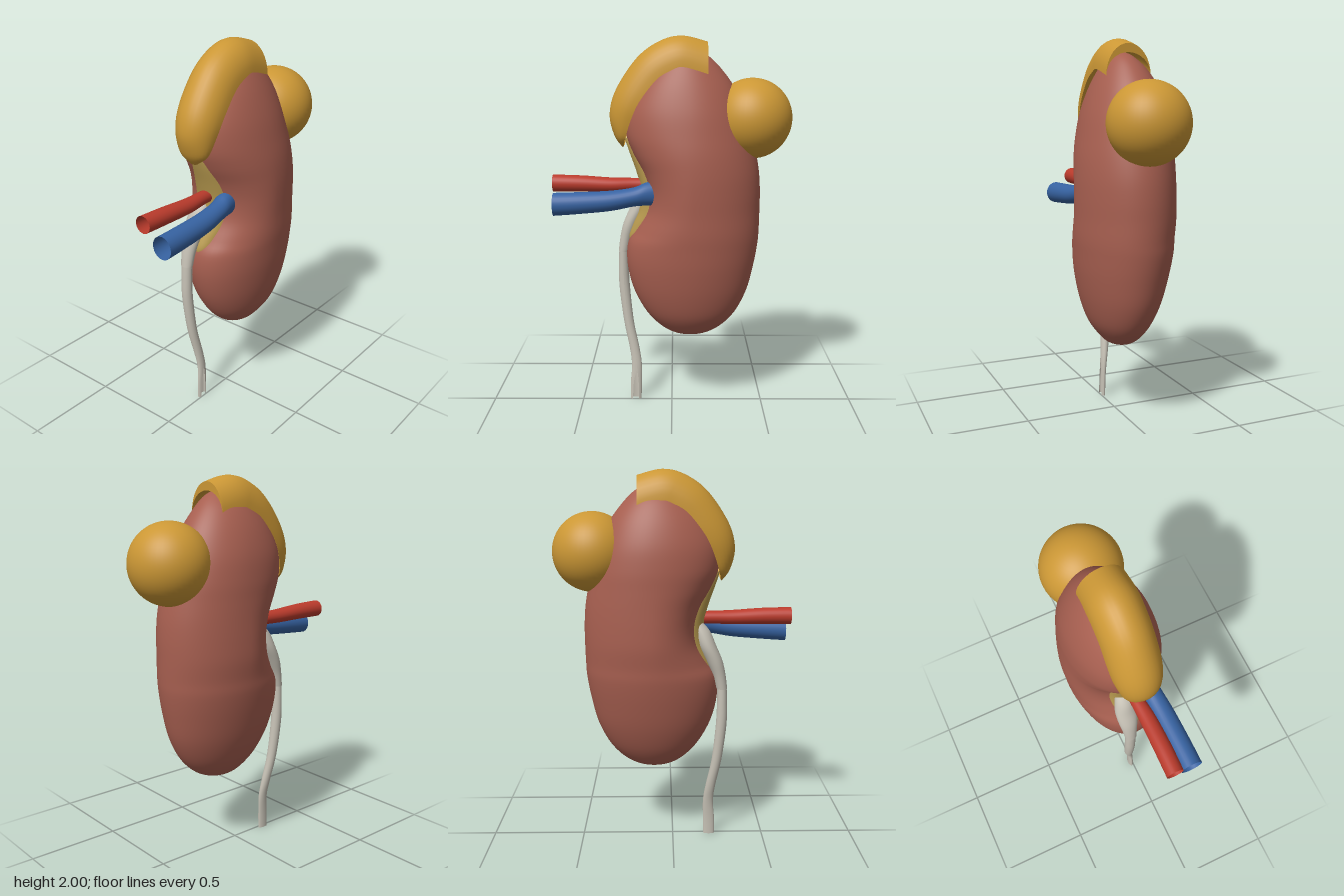
import * as THREE from 'three';
import { toCreasedNormals } from 'three/addons/utils/BufferGeometryUtils.js';

const paint = (name, color, side = THREE.FrontSide) => {
  const m = new THREE.MeshStandardMaterial({ color, side });
  m.name = name;
  return m;
};

// Smoothly resample rows of numbers with a Catmull-Rom spline per column
function resample(rows, steps) {
  const out = [], last = rows.length - 1;
  for (let s = 0; s <= last * steps; s++) {
    const i = Math.min(Math.floor(s / steps), last - 1), t = s / steps - i;
    const a = rows[Math.max(i - 1, 0)], b = rows[i], c = rows[i + 1], d = rows[Math.min(i + 2, last)];
    out.push(b.map((v, k) => v + 0.5 * t * (c[k] - a[k]
      + t * (2 * a[k] - 5 * v + 4 * c[k] - d[k] + t * (3 * (v - c[k]) + d[k] - a[k])))));
  }
  return out;
}

function geometryFrom(pos, index) {
  const g = new THREE.BufferGeometry();
  g.setAttribute('position', new THREE.Float32BufferAttribute(pos, 3));
  g.setIndex(index);
  g.computeVertexNormals();
  return g;
}

// Loft rising in y; rows: [y, centreX, centreZ, reachMinusX, reachPlusX, reachZ, frontGap]
function loft(rows, { seg = 40, steps = 5, slit = false } = {}) {
  const rings = resample(rows, steps), pos = [], index = [];
  const n = slit ? seg + 1 : seg;
  for (const [y, cx, cz, l, r, d, gap = 0] of rings) {
    for (let j = 0; j < n; j++) {
      const a = Math.PI / 2 + gap / 2 + (Math.PI * 2 - gap) * j / seg;
      const c = Math.cos(a);
      pos.push(cx + Math.max(c < 0 ? l : r, 0) * c, y, cz + Math.max(d, 0) * Math.sin(a));
    }
  }
  for (let i = 0; i < rings.length - 1; i++) {
    for (let j = 0; j < seg; j++) {
      const a = i * n + j, b = i * n + (j + 1) % n;
      index.push(a, a + n, b, b, a + n, b + n);
    }
  }
  return geometryFrom(pos, index);
}

// Arched saddle; rows: [crestX, crestY, edgeX, edgeY, halfWidth]
function saddle(rows, half = 16) {
  const rings = resample(rows, 6), n = half * 2, pos = [], index = [];
  for (const [px, py, qx, qy, w] of rings) {
    for (let k = 0; k < n; k++) {
      const inner = k > half;
      const a = -Math.PI / 2 + Math.PI * (inner ? n - k : k) / half;
      const f = Math.cos(a) * (inner ? 0.72 : 1);
      pos.push(qx + (px - qx) * f, qy + (py - qy) * f, w * Math.sin(a));
    }
  }
  for (let i = 0; i < rings.length - 1; i++) {
    for (let k = 0; k < n; k++) {
      const a = i * n + k, b = i * n + (k + 1) % n;
      index.push(a, b, a + n, b, b + n, a + n);
    }
  }
  // crescent end faces
  const end = (rings.length - 1) * n;
  for (let k = 0; k < half; k++) {
    const m = (n - k) % n, m2 = n - k - 1;
    index.push(end + k, end + k + 1, end + m, end + k + 1, end + m2, end + m);
    index.push(k + 1, k, m, m2, k + 1, m);
  }
  return toCreasedNormals(geometryFrom(pos, index), 0.8);
}

export function createModel() {
  const group = new THREE.Group();
  const tissue = paint('kidney brown', 0xa75f50);
  const fat = paint('fat yellow', 0xcb9735);
  const sinus = paint('sinus tan', 0xb99b4f);
  const red = paint('artery red', 0xba3b2c, THREE.DoubleSide);
  const blue = paint('vein blue', 0x3763a2, THREE.DoubleSide);
  const pale = paint('ureter grey', 0xc6c1b5, THREE.DoubleSide);

  const add = (name, geometry, material) => {
    const mesh = new THREE.Mesh(geometry, material);
    mesh.name = name;
    group.add(mesh);
    return mesh;
  };

  // Bean-shaped body with the notch on -x
  add('kidneyBody', loft([
    [0.403, 0.10, 0.02, 0, 0, 0],
    [0.418, 0.10, 0.02, 0.09, 0.09, 0.06],
    [0.46, 0.10, 0.02, 0.165, 0.17, 0.105],
    [0.54, 0.10, 0.02, 0.24, 0.245, 0.157],
    [0.66, 0.10, 0.015, 0.305, 0.305, 0.2],
    [0.80, 0.105, 0.01, 0.345, 0.335, 0.23],
    [0.92, 0.11, 0.005, 0.345, 0.35, 0.246],
    [1.00, 0.11, 0.005, 0.30, 0.355, 0.251],
    [1.10, 0.11, 0, 0.25, 0.357, 0.255],
    [1.20, 0.11, 0, 0.24, 0.357, 0.255],
    [1.30, 0.11, 0, 0.265, 0.35, 0.252],
    [1.40, 0.105, -0.003, 0.31, 0.338, 0.246],
    [1.50, 0.10, -0.01, 0.34, 0.32, 0.235],
    [1.62, 0.095, -0.015, 0.33, 0.285, 0.213],
    [1.74, 0.085, -0.015, 0.26, 0.24, 0.172],
    [1.84, 0.08, -0.01, 0.17, 0.17, 0.12],
    [1.90, 0.075, 0, 0.10, 0.11, 0.07],
    [1.925, 0.07, 0, 0.05, 0.055, 0.035],
    [1.933, 0.07, 0, 0, 0, 0],
  ], { seg: 64 }), tissue);

  // Fat lining the notch
  add('sinusFat', loft([
    [0.90, -0.20, -0.005, 0.02, 0.05, 0.01],
    [0.95, -0.15, -0.005, 0.08, 0.05, 0.06],
    [1.02, -0.10, -0.005, 0.107, 0.05, 0.09],
    [1.10, -0.07, -0.005, 0.105, 0.05, 0.105],
    [1.20, -0.06, -0.005, 0.105, 0.05, 0.11],
    [1.30, -0.08, -0.005, 0.108, 0.05, 0.10],
    [1.40, -0.13, -0.005, 0.093, 0.05, 0.075],
    [1.48, -0.20, -0.005, 0.05, 0.05, 0.03],
  ]), sinus);

  // Fat draped over the upper pole, and the round mass on the +x side
  add('upperFatCap', saddle([
    [-0.258, 1.43, -0.25, 1.44, 0.03],
    [-0.30, 1.49, -0.24, 1.485, 0.085],
    [-0.325, 1.60, -0.205, 1.59, 0.115],
    [-0.29, 1.73, -0.16, 1.68, 0.125],
    [-0.18, 1.89, -0.075, 1.785, 0.125],
    [-0.06, 1.975, 0, 1.83, 0.125],
    [0.055, 2.0, 0.06, 1.845, 0.125],
    [0.183, 1.97, 0.183, 1.81, 0.122],
  ]), fat);
  const mass = add('roundMass', new THREE.SphereGeometry(0.208, 48, 32), fat);
  mass.position.set(0.418, 1.581, 0);

  // Open vessels, lofted upright and laid over towards -x
  const vessel = (name, rows, material) => {
    add(name, loft(rows, { seg: 28 }), material).rotation.z = Math.PI / 2;
  };
  vessel('renalArtery', [
    [0.08, 1.23, 0, 0.035, 0.035, 0.035],
    [0.20, 1.233, 0.005, 0.034, 0.034, 0.036],
    [0.32, 1.232, 0.012, 0.038, 0.038, 0.042],
    [0.48, 1.238, 0.012, 0.043, 0.043, 0.045],
    [0.63, 1.24, 0.008, 0.045, 0.045, 0.045],
  ], red);
  vessel('renalVein', [
    [0.09, 1.198, 0.085, 0.066, 0.066, 0.05],
    [0.14, 1.195, 0.092, 0.06, 0.06, 0.052],
    [0.20, 1.182, 0.10, 0.05, 0.05, 0.052],
    [0.32, 1.163, 0.108, 0.053, 0.053, 0.056],
    [0.48, 1.152, 0.112, 0.057, 0.057, 0.057],
    [0.617, 1.145, 0.113, 0.06, 0.06, 0.057],
  ], blue);

  // Funnel leaving the notch, then the long duct with a slit lower end
  add('renalPelvis', loft([
    [0.855, -0.263, -0.05, 0.029, 0.029, 0.033],
    [0.93, -0.248, -0.05, 0.034, 0.034, 0.04],
    [1.01, -0.222, -0.048, 0.042, 0.045, 0.052],
    [1.09, -0.185, -0.045, 0.045, 0.05, 0.058],
    [1.17, -0.15, -0.04, 0.045, 0.045, 0.048],
    [1.23, -0.11, -0.035, 0.03, 0.03, 0.03],
  ], { seg: 28 }), pale);
  add('ureter', loft([
    [0, -0.203, -0.012, 0.031, 0.031, 0.014, 1.2],
    [0.1, -0.201, -0.013, 0.031, 0.031, 0.014, 0.9],
    [0.2, -0.197, -0.018, 0.028, 0.028, 0.017, 0],
    [0.3, -0.21, -0.03, 0.027, 0.027, 0.022, 0],
    [0.45, -0.24, -0.044, 0.027, 0.027, 0.026, 0],
    [0.65, -0.262, -0.052, 0.029, 0.029, 0.029, 0],
    [0.78, -0.265, -0.052, 0.027, 0.027, 0.03, 0],
    [0.865, -0.263, -0.05, 0.026, 0.026, 0.03, 0],
  ], { seg: 28, slit: true }), pale);

  return group;
}
